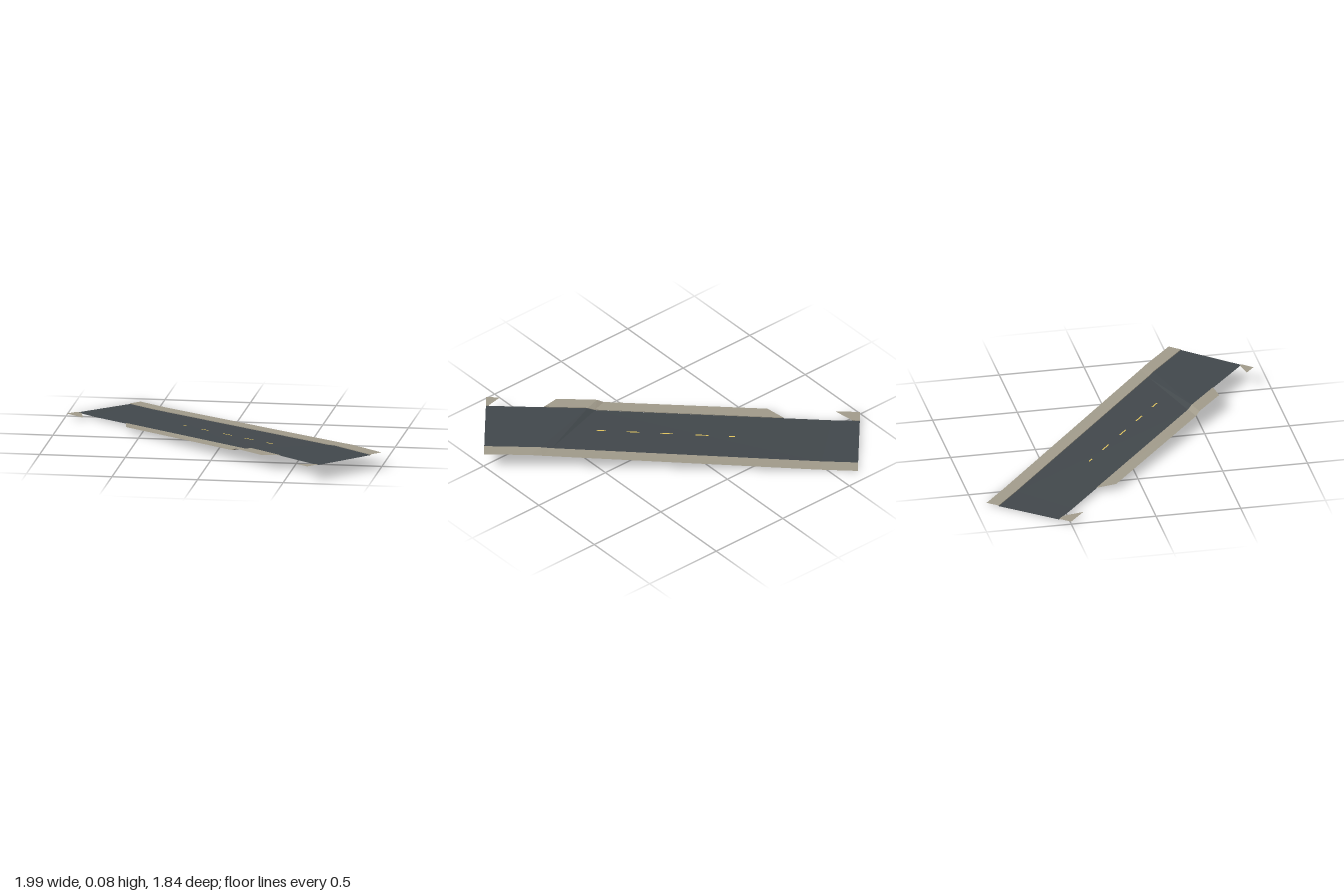
import * as THREE from 'three';

// Road axes on the ground: s runs along the road, v across it
const U = [0.753, 0.658], V = [-0.658, 0.753];
const ROAD = 0.2, OUTER = 0.28, END = 1.08, CURB = 0.004;

// Height profiles [s, y] down the two long sides; matching rows form slanted creases
const BACK = [[-END, 0], [-0.86, 0.005], [0.74, 0.076], [0.81, 0.08], [END, 0.081]];
const FRONT = [[-END, 0.013], [-0.93, 0.014], [0.40, 0.058], [0.44, 0.073], [END, 0.081]];

const lerp = THREE.MathUtils.lerp;

// The profile of the ruled surface at crossing position v
function profile(v) {
  const t = (v + OUTER) / (2 * OUTER);
  return BACK.map((p, i) => [lerp(p[0], FRONT[i][0], t), lerp(p[1], FRONT[i][1], t)]);
}

// Point on the road surface, lifted by dy
function point(s, v, dy = 0) {
  const p = profile(v);
  let i = 0;
  while (i < p.length - 2 && s > p[i + 1][0]) i++;
  const k = (s - p[i][0]) / (p[i + 1][0] - p[i][0]);
  return [U[0] * s + V[0] * v, lerp(p[i][1], p[i + 1][1], k) + dy, U[1] * s + V[1] * v];
}

// Sheet between two matching rows of points, facing up
function strip(name, rowA, rowB, material) {
  const pos = [];
  for (let i = 0; i < rowA.length - 1; i++) {
    const a = rowA[i], b = rowB[i], c = rowB[i + 1], d = rowA[i + 1];
    pos.push(...a, ...b, ...c, ...a, ...c, ...d);
  }
  const g = new THREE.BufferGeometry();
  g.setAttribute('position', new THREE.Float32BufferAttribute(pos, 3));
  g.computeVertexNormals();
  const mesh = new THREE.Mesh(g, material);
  mesh.name = name;
  return mesh;
}

const row = (stations, v, dy) => stations.map(s => point(s, v, dy));

export function createModel() {
  const group = new THREE.Group();
  group.name = 'roadSegment';
  const make = (name, color) => {
    const m = new THREE.MeshStandardMaterial({ color, flatShading: true, side: THREE.DoubleSide });
    m.name = name;
    return m;
  };
  const asphalt = make('asphalt', 0x41474b);
  const concrete = make('concrete', 0xa09a8a);
  const yellow = make('yellowPaint', 0xe2c45c);

  // Roadway
  const stationsAt = v => profile(v).map(p => p[0]);
  group.add(strip('roadway', row(stationsAt(-ROAD), -ROAD), row(stationsAt(ROAD), ROAD), asphalt));

  // Pavement sheet with a low curb face along the roadway
  function pavement(name, inner, outer, side) {
    const low = row(inner, side * ROAD), top = row(inner, side * ROAD, CURB);
    const rim = row(outer, side * OUTER, CURB);
    const part = new THREE.Group();
    part.name = name;
    part.add(side > 0 ? strip('pavementTop', top, rim, concrete) : strip('pavementTop', rim, top, concrete));
    part.add(side > 0 ? strip('curb', low, top, concrete) : strip('curb', top, low, concrete));
    group.add(part);
  }

  // Full pavement at the back, broken pavement at the front
  pavement('backPavement', stationsAt(-ROAD), stationsAt(-OUTER), -1);
  pavement('frontPavement', [-0.64, -0.545, 0.45, 0.49, 0.674, 0.744],
    [-0.545, -0.5, 0.40, 0.44, 0.66, 0.674], 1);
  pavement('lowEndPavement', [-END, -1.035], [-END, -0.937], 1);
  pavement('highEndPavement', [1.063, END], [1.0, END], 1);

  // Centre line dashes [start, end, lift]; some are sunk under the surface
  const dashes = [[-0.80, -0.72, -1], [-0.365, -0.33, 1], [-0.21, -0.135, 1], [-0.005, 0.068, 1],
    [0.188, 0.262, 1], [0.382, 0.436, 1], [0.62, 0.66, -1], [0.78, 0.86, -1]];
  for (const [a, b, side] of dashes) {
    const dy = 0.0015 * side;
    group.add(strip('centreDash', row([a, b], -0.004, dy), row([a, b], 0.004, dy), yellow));
  }
  return group;
}
